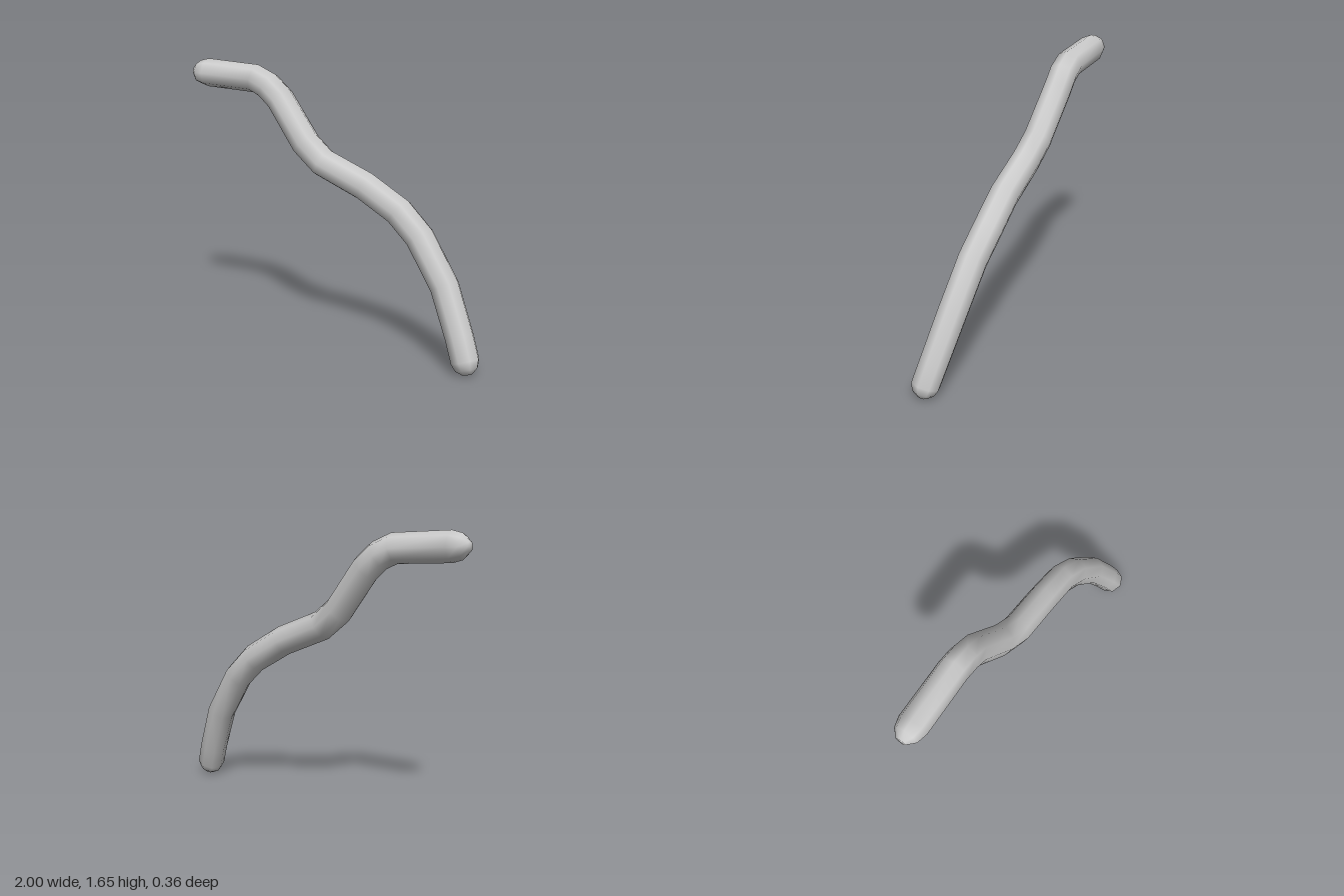
import * as THREE from 'three';

const SIDES = 8;

// Sweeps a ring of sides along stations [x, y, z, radius], closing both ends.
function sweep(stations) {
  const pts = stations.map(([x, y, z]) => new THREE.Vector3(x, y, z));
  const last = pts.length - 1;
  const pos = [], index = [];
  const u = new THREE.Vector3(0, 0, 1), v = new THREE.Vector3();

  pts.forEach((p, i) => {
    // Tangent bisects the neighbouring segments; u is carried along without twist.
    const t = new THREE.Vector3();
    if (i > 0) t.add(p.clone().sub(pts[i - 1]).normalize());
    if (i < last) t.add(pts[i + 1].clone().sub(p).normalize());
    t.normalize();
    u.addScaledVector(t, -u.dot(t)).normalize();
    v.crossVectors(t, u);
    for (let j = 0; j < SIDES; j++) {
      const a = (j / SIDES) * Math.PI * 2;
      const q = p.clone()
        .addScaledVector(u, Math.cos(a) * stations[i][3])
        .addScaledVector(v, Math.sin(a) * stations[i][3]);
      pos.push(q.x, q.y, q.z);
    }
  });
  pos.push(...pts[0].toArray(), ...pts[last].toArray());

  const startTip = pts.length * SIDES, endTip = startTip + 1;
  for (let j = 0; j < SIDES; j++) {
    const k = (j + 1) % SIDES;
    for (let i = 0; i < last; i++) {
      const a = i * SIDES + j, b = i * SIDES + k;
      index.push(a, b, a + SIDES, b, b + SIDES, a + SIDES);
    }
    index.push(startTip, k, j, endTip, last * SIDES + j, last * SIDES + k);
  }

  const geo = new THREE.BufferGeometry();
  geo.setAttribute('position', new THREE.Float32BufferAttribute(pos, 3));
  geo.setIndex(index);
  geo.computeVertexNormals();
  return geo;
}

export function createModel() {
  const group = new THREE.Group();
  group.name = 'bentRod';

  const rod = new THREE.Mesh(
    sweep([
      // blunt upper end
      [-1.0, 1.575, 0.105, 0.03],
      [-0.96, 1.574, 0.1, 0.07],
      [-0.9, 1.572, 0.09, 0.086],
      // upper bend
      [-0.56, 1.55, 0.032, 0.086],
      [-0.47, 1.508, 0.015, 0.087],
      [-0.39, 1.435, 0.0, 0.087],
      // middle kink
      [-0.19, 1.187, 0.0, 0.088],
      [-0.06, 1.085, -0.006, 0.088],
      // long lower curve
      [0.21, 0.972, -0.052, 0.088],
      [0.42, 0.845, -0.092, 0.088],
      [0.56, 0.718, -0.098, 0.087],
      [0.735, 0.468, -0.092, 0.086],
      [0.86, 0.21, -0.058, 0.084],
      // blunt lower end
      [0.914, 0.085, -0.038, 0.083],
      [0.927, 0.045, -0.034, 0.066],
      [0.936, 0.017, -0.032, 0.03],
    ]),
    new THREE.MeshStandardMaterial({ color: 0xcccccc })
  );
  rod.name = 'rod';
  group.add(rod);
  return group;
}
